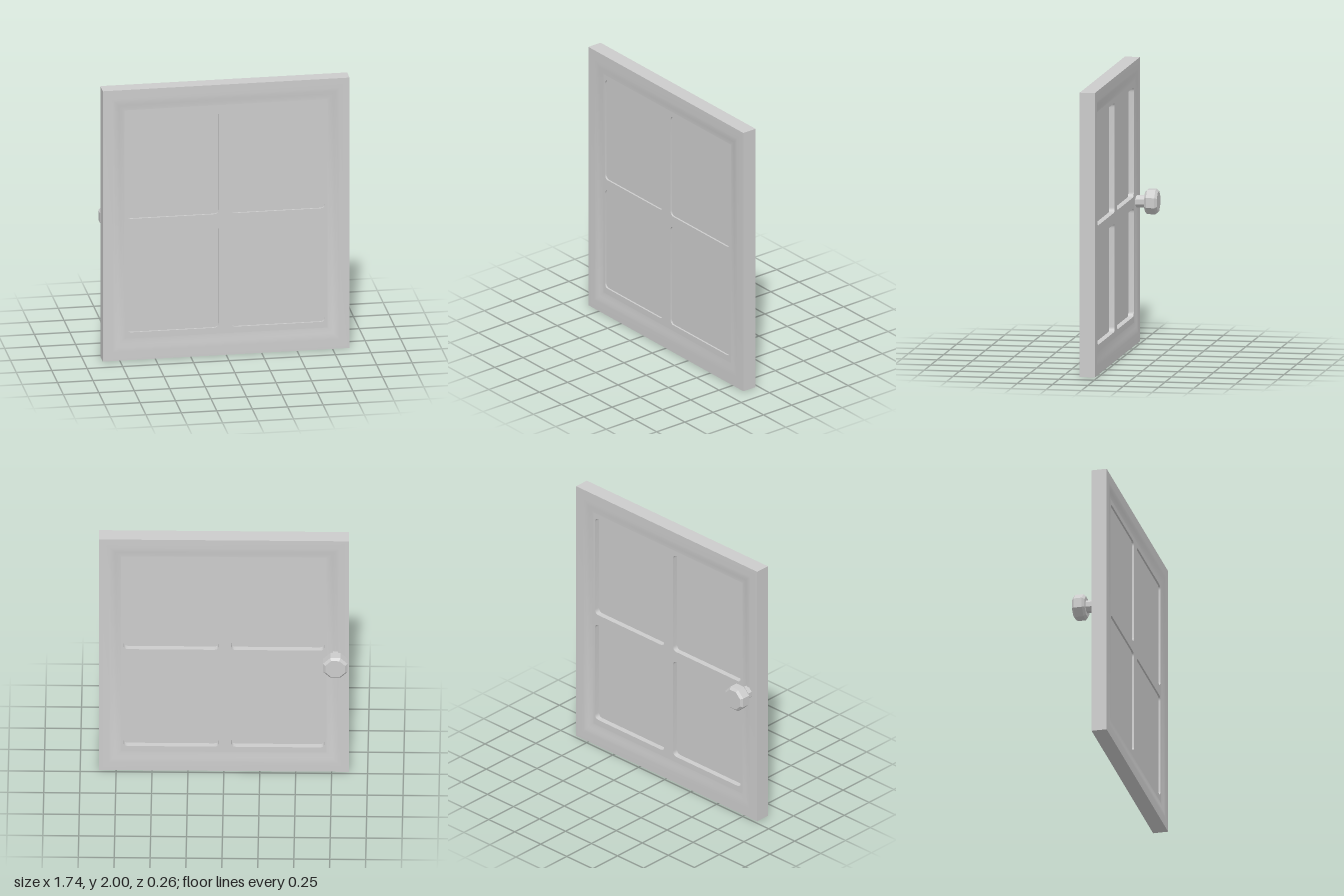
import * as THREE from 'three';
import { toCreasedNormals } from 'three/addons/utils/BufferGeometryUtils.js';

const W = 0.87, H = 2, BACK = 0.02, FRONT = 0.128;
const DIP = 0.013, INSET = 0.155;
// window openings: x0, x1, y0, y1
const openings = [];
for (const [x0, x1] of [[-0.7, -0.05], [0.035, 0.7]])
  for (const [y0, y1] of [[0.2, 0.96], [1.04, 1.81]]) openings.push([x0, x1, y0, y1]);

// rectangle outline with softly rounded corners
function roundedRect(path, x0, x1, y0, y1, r) {
  path.moveTo(x0 + r, y0);
  path.lineTo(x1 - r, y0).quadraticCurveTo(x1, y0, x1, y0 + r);
  path.lineTo(x1, y1 - r).quadraticCurveTo(x1, y1, x1 - r, y1);
  path.lineTo(x0 + r, y1).quadraticCurveTo(x0, y1, x0, y1 - r);
  path.lineTo(x0, y0 + r).quadraticCurveTo(x0, y0, x0 + r, y0);
  return path;
}

// outer frame: mitred rectangular loops swept along a dished profile
function rimGeometry() {
  const dish = [[0, 0], [0.07, 0], [0.09, 0.1], [0.115, 0.5], [0.14, 0.9], [INSET, 1]];
  const profile = [
    ...dish.map(([d, t]) => [d, BACK + t * DIP]).reverse(),
    ...dish.map(([d, t]) => [d, FRONT - t * DIP]),
  ];
  const pos = [], idx = [];
  profile.forEach(([d, z], j) => {
    for (const [sx, top] of [[-1, 0], [1, 0], [1, 1], [-1, 1]])
      pos.push(sx * (W - d), top ? H - d : d, z);
    if (j === profile.length - 1) return;
    for (let i = 0; i < 4; i++) {
      const a = j * 4 + i, b = j * 4 + (i + 1) % 4;
      idx.push(a, b, b + 4, a, b + 4, a + 4);
    }
  });
  const g = new THREE.BufferGeometry();
  g.setAttribute('position', new THREE.Float32BufferAttribute(pos, 3));
  g.setIndex(idx);
  return toCreasedNormals(g, 0.7);
}

// inner lattice: slab with four rounded openings
function latticeGeometry() {
  const x = W - INSET;
  const shape = new THREE.Shape([
    new THREE.Vector2(-x, INSET), new THREE.Vector2(x, INSET),
    new THREE.Vector2(x, H - INSET), new THREE.Vector2(-x, H - INSET),
  ]);
  for (const o of openings) shape.holes.push(roundedRect(new THREE.Path(), ...o, 0.035));
  const g = new THREE.ExtrudeGeometry(shape, {
    depth: FRONT - BACK - 2 * DIP, bevelEnabled: false, curveSegments: 6,
  });
  g.translate(0, 0, BACK + DIP);
  return toCreasedNormals(g, 0.7);
}

// eight-sided turned piece pointing backwards
function turned(points) {
  const g = new THREE.LatheGeometry(points.map(p => new THREE.Vector2(...p)), 8, Math.PI / 8);
  const flat = g.rotateX(-Math.PI / 2).toNonIndexed();
  flat.computeVertexNormals();
  return flat;
}

export function createModel() {
  const group = new THREE.Group();
  const smooth = new THREE.MeshStandardMaterial({ color: 0xcccccc });
  const faceted = new THREE.MeshStandardMaterial({ color: 0xcccccc, flatShading: true });
  const add = (name, geometry, material, parent = group) => {
    const m = new THREE.Mesh(geometry, material);
    m.name = name;
    parent.add(m);
    return m;
  };

  add('outerFrame', rimGeometry(), smooth);
  add('lattice', latticeGeometry(), smooth);

  // panes sit close to the front, edges buried in the lattice
  for (const [x0, x1, y0, y1] of openings) {
    const pane = add('pane', new THREE.BoxGeometry(x1 - x0 + 0.02, y1 - y0 + 0.02, 0.03), smooth);
    pane.position.set((x0 + x1) / 2, (y0 + y1) / 2, 0.087);
  }

  // knob on the back
  const knob = new THREE.Group();
  knob.name = 'knob';
  knob.position.set(-0.777, 1, 0);
  add('knobStem', turned([[0.045, -0.03], [0.045, 0.05]]), faceted, knob);
  add('knobHead', turned([
    [0, 0.037], [0.075, 0.037], [0.092, 0.053], [0.092, 0.112], [0.075, 0.128], [0, 0.128],
  ]), faceted, knob);
  group.add(knob);
  return group;
}
